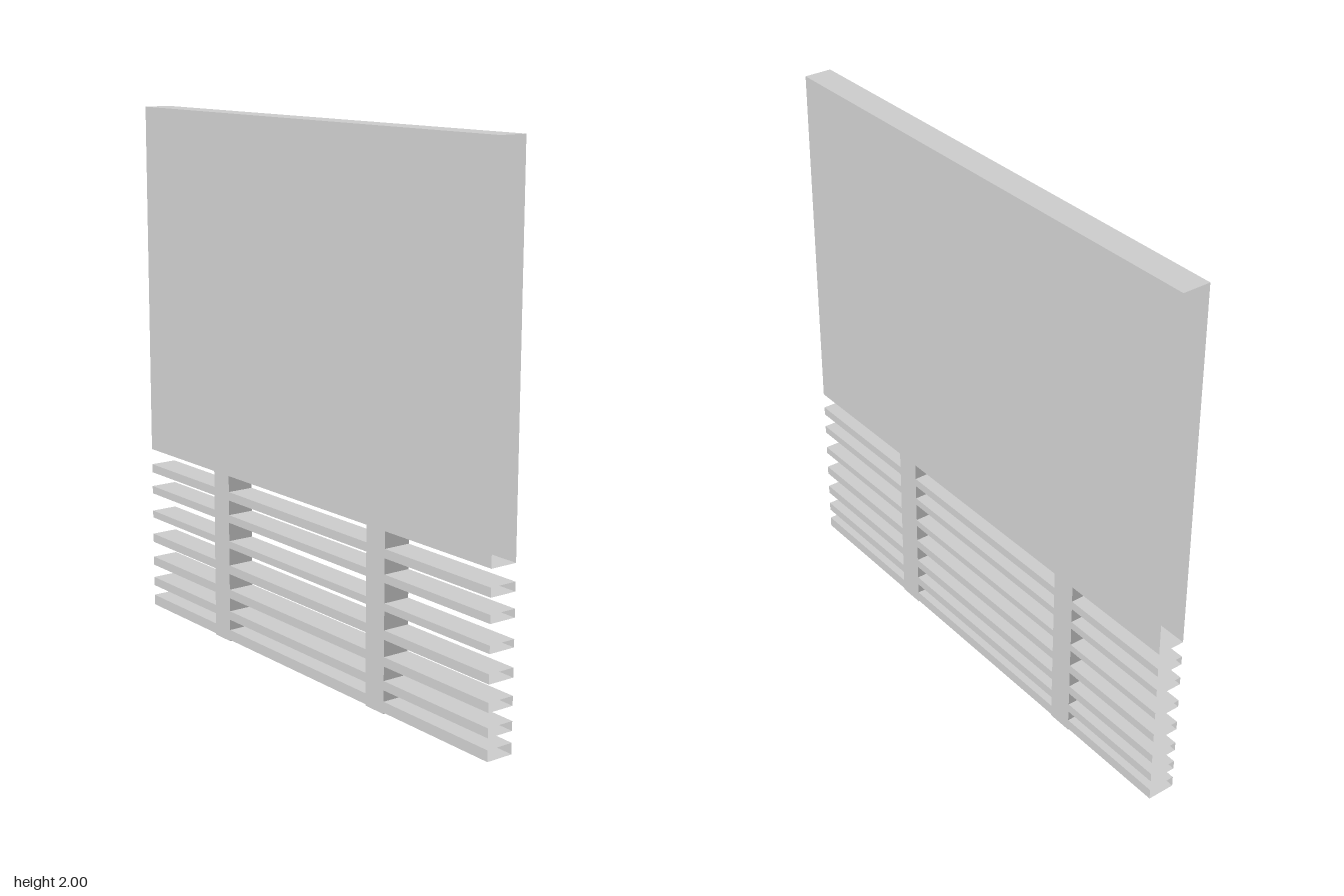
import * as THREE from 'three';

const THICKNESS = 0.105;

export function createModel() {
  const group = new THREE.Group();
  group.name = 'slattedWallPanel';
  const grey = new THREE.MeshStandardMaterial({ color: 0xcccccc, side: THREE.DoubleSide, flatShading: true });

  // Box spanning y0..y1 and z0..z1; open boxes have no faces at the two z ends
  function addBox(name, y0, y1, z0, z1, open) {
    const geometry = new THREE.BoxGeometry(THICKNESS, y1 - y0, z1 - z0);
    if (open) {
      geometry.setIndex(Array.from(geometry.index.array).slice(0, 24)); // keep sides, top and bottom
      geometry.clearGroups();
    }
    const mesh = new THREE.Mesh(geometry, grey);
    mesh.name = name;
    mesh.position.set(0, (y0 + y1) / 2, (z0 + z1) / 2);
    group.add(mesh);
  }

  // Large hollow upper panel, open at both ends
  addBox('upperPanel', 0.652, 2, -1, 1, true);

  // Two upright posts below the panel
  const posts = [[-0.556, -0.459], [0.371, 0.471]];
  posts.forEach(([z0, z1]) => addBox('post', 0, 0.652, z0, z1, false));

  // Horizontal slats filling the bays beside and between the posts
  const slats = [[0.005, 0.045], [0.086, 0.12], [0.172, 0.206], [0.268, 0.302],
    [0.37, 0.398], [0.47, 0.5], [0.557, 0.59]];
  const bays = [[-1, posts[0][0]], [posts[0][1], posts[1][0]], [posts[1][1], 1]];
  for (const [y0, y1] of slats) {
    for (const [z0, z1] of bays) addBox('slat', y0, y1, z0, z1, true);
  }

  return group;
}
